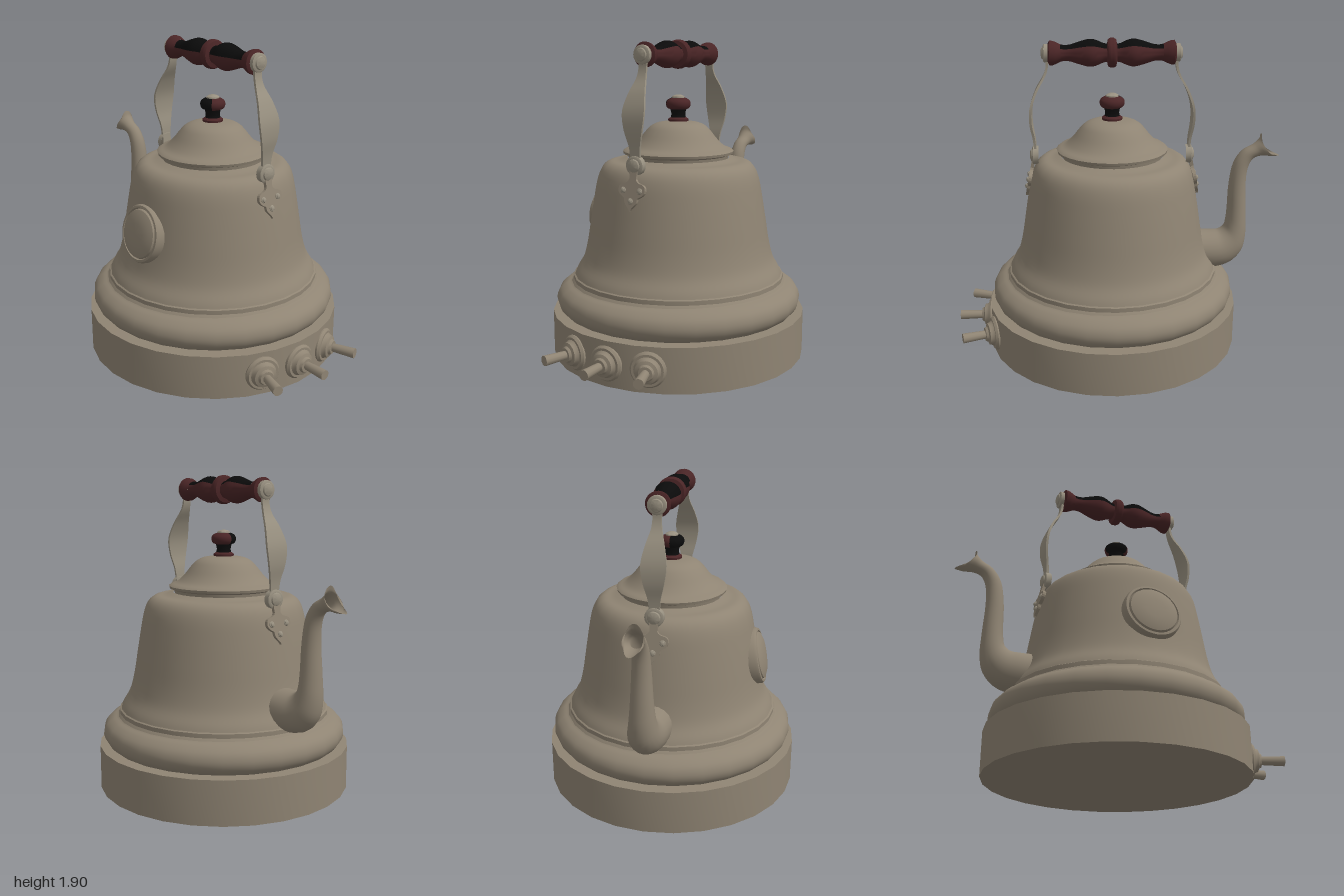
import * as THREE from 'three';
import { toCreasedNormals } from 'three/addons/utils/BufferGeometryUtils.js';

const SIDES = 28;
const mat = (name, color) => Object.assign(new THREE.MeshStandardMaterial({ color }), { name });

export function createModel() {
  const enamel = mat('taupe enamel', 0x8f8473);
  const metal = mat('pale metal', 0x989080);
  const redWood = mat('red wood', 0x4a2526);
  const blackWood = mat('black wood', 0x0b0b0b);
  const spoutEnamel = enamel.clone();
  spoutEnamel.side = THREE.DoubleSide;

  const model = new THREE.Group();
  model.name = 'kettle';
  const kettle = new THREE.Group();
  kettle.name = 'kettleBody';
  kettle.position.x = 0.025;
  model.add(kettle);

  const add = (parent, name, geo, material) => {
    const m = new THREE.Mesh(geo, material);
    m.name = name;
    parent.add(m);
    return m;
  };
  // Profile points run from bottom to top; smooth > 0 resamples them as a spline
  const turned = (pts, { smooth = 0, sides = SIDES, start = 0, sweep = Math.PI * 2, crease = 0.6 } = {}) => {
    let p = pts.map(([r, y]) => new THREE.Vector2(r, y));
    if (smooth) p = new THREE.SplineCurve(p).getPoints(smooth);
    return toCreasedNormals(new THREE.LatheGeometry(p, sides, start, sweep), crease);
  };

  // Base drum and stacked bell-shaped body
  add(kettle, 'base', turned([[0, 0], [0.775, 0], [0.775, 0.265], [0.7, 0.268]]), enamel);
  add(kettle, 'lowerMoulding', turned([[0.7, 0.265], [0.72, 0.28], [0.742, 0.31], [0.75, 0.35],
    [0.735, 0.395], [0.695, 0.43], [0.66, 0.445], [0.645, 0.46]], { smooth: 20 }), enamel);
  add(kettle, 'bodyStep', turned([[0.66, 0.445], [0.648, 0.46], [0.648, 0.485], [0.63, 0.495]]), enamel);
  add(kettle, 'body', turned([[0.64, 0.487], [0.625, 0.52], [0.585, 0.59], [0.558, 0.69], [0.535, 0.83],
    [0.512, 0.97], [0.49, 1.08], [0.462, 1.145], [0.42, 1.178], [0.36, 1.186], [0.31, 1.2]], { smooth: 40 }), enamel);

  // Lid
  add(kettle, 'lidRim', turned([[0.3, 1.19], [0.305, 1.215], [0.332, 1.225], [0.336, 1.24], [0.32, 1.252], [0.28, 1.262]]), enamel);
  add(kettle, 'lid', turned([[0.32, 1.25], [0.28, 1.268], [0.24, 1.305], [0.2, 1.355], [0.165, 1.39],
    [0.12, 1.41], [0.06, 1.418], [0, 1.42]], { smooth: 24 }), enamel);

  // Lid knob
  add(kettle, 'knobFoot', turned([[0.06, 1.41], [0.062, 1.43], [0.045, 1.442]]), redWood);
  add(kettle, 'knobNeck', turned([[0.048, 1.435], [0.042, 1.46], [0.05, 1.495]], { smooth: 8 }), blackWood);
  const ball = [[0.045, 1.488], [0.066, 1.497], [0.075, 1.52], [0.068, 1.542], [0.04, 1.558], [0, 1.56]];
  const ballDark = Math.PI * 0.75;
  add(kettle, 'knobBallDark', turned(ball, { smooth: 12, start: -Math.PI / 2, sweep: ballDark, sides: 12 }), blackWood);
  add(kettle, 'knobBall', turned(ball, { smooth: 12, start: -Math.PI / 2 + ballDark, sweep: Math.PI * 2 - ballDark, sides: 20 }), redWood);
  add(kettle, 'knobCap', turned([[0.04, 1.55], [0.038, 1.565], [0.022, 1.574], [0, 1.576]]), metal);

  // Round domed plate on the front
  const plate = add(kettle, 'frontMedallion', turned([[0.172, -0.06], [0.172, 0.01], [0.165, 0.024], [0.152, 0.026],
    [0.146, 0.016], [0.14, 0.03], [0.11, 0.042], [0.06, 0.049], [0, 0.05]], { sides: 40 }), enamel);
  plate.position.set(0, 0.83, 0.535);
  plate.rotation.x = Math.PI / 2 - 0.2;

  // Three toggle switches on the base
  for (const a of [-0.33, 0, 0.33]) {
    const sw = new THREE.Group();
    sw.name = 'toggleSwitch';
    sw.rotation.y = a;
    kettle.add(sw);
    const collar = add(sw, 'switchCollar', turned([[0.103, -0.06], [0.103, 0.012], [0.092, 0.026], [0.078, 0.026],
      [0.07, 0.036], [0.066, 0.052], [0.048, 0.058], [0.04, 0.072], [0, 0.074]], { sides: 24 }), enamel);
    collar.position.set(0.765, 0.135, 0);
    collar.rotation.z = -Math.PI / 2;
    const lever = add(sw, 'switchLever', new THREE.CylinderGeometry(0.03, 0.024, 0.16, 12), enamel);
    lever.position.set(0.895, 0.135, 0);
    lever.rotation.z = -Math.PI / 2;
  }

  // Spout sections: underside x, y, half width, then upper side x, y
  const sections = [
    [-0.45, 0.46, 0.13, -0.45, 0.7], [-0.62, 0.455, 0.12, -0.6, 0.695], [-0.72, 0.485, 0.105, -0.645, 0.7],
    [-0.79, 0.56, 0.088, -0.675, 0.725], [-0.813, 0.66, 0.076, -0.685, 0.77], [-0.81, 0.8, 0.066, -0.69, 0.84],
    [-0.8, 1.0, 0.055, -0.695, 1.0], [-0.81, 1.11, 0.048, -0.72, 1.14], [-0.84, 1.165, 0.043, -0.77, 1.215],
    [-0.89, 1.182, 0.046, -0.835, 1.253], [-0.95, 1.178, 0.06, -0.87, 1.285], [-1.0, 1.18, 0.05, -0.883, 1.32]];
  const under = new THREE.CatmullRomCurve3(sections.map((s) => new THREE.Vector3(s[0], s[1], s[2])));
  const upper = new THREE.CatmullRomCurve3(sections.map((s) => new THREE.Vector3(s[3], s[4], 0)));
  const rows = 44, ring = 20, pos = [], idx = [];
  for (let i = 0; i <= rows; i++) {
    const t = i / rows, o = under.getPoint(t), u = upper.getPoint(t);
    const sag = Math.max(0, (t - 0.91) / 0.09);
    for (let j = 0; j < ring; j++) {
      const a = (j / ring) * Math.PI * 2, c = Math.cos(a), s = Math.sin(a);
      pos.push((o.x + u.x) / 2 + ((o.x - u.x) / 2) * c + 0.04 * sag * s * s,
        (o.y + u.y) / 2 + ((o.y - u.y) / 2) * c - 0.015 * sag * s * s, o.z * s);
      if (i < rows) {
        const k = (j + 1) % ring, p = i * ring, q = p + ring;
        idx.push(p + j, p + k, q + k, p + j, q + k, q + j);
      }
    }
  }
  const spoutGeo = new THREE.BufferGeometry();
  spoutGeo.setAttribute('position', new THREE.Float32BufferAttribute(pos, 3));
  spoutGeo.setIndex(idx);
  spoutGeo.computeVertexNormals();
  add(model, 'spout', spoutGeo, spoutEnamel);

  // Bail strap: a box bent along a curve whose z value is its half width
  const strapCurve = new THREE.CatmullRomCurve3([[0.46, 1.18, 0.028], [0.468, 1.3, 0.036], [0.484, 1.4, 0.06],
    [0.48, 1.5, 0.073], [0.445, 1.6, 0.055], [0.395, 1.69, 0.03], [0.38, 1.75, 0.026], [0.386, 1.83, 0.035]]
    .map((p) => new THREE.Vector3(...p)));
  const strapGeo = new THREE.BoxGeometry(0.014, 1, 2, 1, 32, 2);
  const sp = strapGeo.attributes.position;
  for (let i = 0; i < sp.count; i++) {
    const p = strapCurve.getPoint(sp.getY(i) + 0.5);
    sp.setXYZ(i, p.x + sp.getX(i), p.y, p.z * sp.getZ(i));
  }
  strapGeo.computeVertexNormals();

  // Lobed bracket outline, mirrored across its centre line
  const shape = new THREE.Shape();
  shape.moveTo(-0.028, 0.15);
  shape.lineTo(-0.022, 0.07);
  shape.bezierCurveTo(-0.035, 0.03, -0.09, 0.06, -0.088, 0.008);
  shape.bezierCurveTo(-0.085, -0.03, -0.04, -0.03, -0.042, -0.045);
  shape.bezierCurveTo(-0.042, -0.08, -0.01, -0.085, 0, -0.115);
  shape.bezierCurveTo(0.01, -0.085, 0.042, -0.08, 0.042, -0.045);
  shape.bezierCurveTo(0.04, -0.03, 0.085, -0.03, 0.088, 0.008);
  shape.bezierCurveTo(0.09, 0.06, 0.035, 0.03, 0.022, 0.07);
  shape.lineTo(0.028, 0.15);
  shape.closePath();
  const bracketGeo = new THREE.ExtrudeGeometry(shape, { depth: 0.02, bevelEnabled: false, curveSegments: 8 });
  bracketGeo.rotateY(Math.PI / 2);
  const button = (r, h) => turned([[r, -h], [r, h * 0.3], [r * 0.82, h * 0.5], [r * 0.7, h * 0.5],
    [r * 0.62, h * 0.8], [r * 0.4, h], [0, h * 1.1]], { sides: 20 }).rotateZ(-Math.PI / 2);

  // Handle grip profiles: [radius, distance from the middle]
  const gripPts = [[0.052, 0.02], [0.056, 0.05], [0.075, 0.095], [0.08, 0.135], [0.066, 0.19], [0.05, 0.24], [0.046, 0.275], [0.05, 0.3]];
  const flangePts = [[0.05, 0.3], [0.062, 0.325], [0.07, 0.345], [0.072, 0.365], [0.05, 0.376], [0, 0.377]];
  const darkStart = Math.PI * 1.2, darkSweep = Math.PI * 0.75;

  for (const side of [0, 1]) {
    const arm = new THREE.Group();
    arm.name = side ? 'rightHandleArm' : 'leftHandleArm';
    arm.rotation.y = side * Math.PI;
    kettle.add(arm);
    add(arm, 'strap', strapGeo, metal);
    const bracket = add(arm, 'bracket', bracketGeo, enamel);
    bracket.position.set(0.49, 1.055, 0);
    bracket.rotation.z = 0.2;
    for (const [y, z] of [[0.005, 0.055], [0.005, -0.055], [-0.055, 0]])
      add(bracket, 'rivet', button(0.018, 0.014), metal).position.set(0.018, y, z);
    add(arm, 'pivotBolt', button(0.056, 0.026), metal).position.set(0.47, 1.2, 0);
    add(arm, 'gripBolt', button(0.054, 0.024), metal).position.set(0.39, 1.815, 0);

    // Dark stain follows the same side of the grip on both halves
    const start = side ? Math.PI * 3 - darkStart - darkSweep : darkStart;
    const grip = (name, from, sweep, material) =>
      add(arm, name, turned(gripPts, { smooth: 20, start: from, sweep, sides: 16 }).rotateZ(-Math.PI / 2), material)
        .position.set(0, 1.815, 0);
    grip('gripDark', start, darkSweep, blackWood);
    grip('grip', start + darkSweep, Math.PI * 2 - darkSweep, redWood);
    add(arm, 'gripFlange', turned(flangePts).rotateZ(-Math.PI / 2), redWood).position.set(0, 1.815, 0);
  }
  const ringGeo = turned([[0.05, -0.03], [0.078, -0.024], [0.086, -0.01], [0.086, 0.01], [0.078, 0.024], [0.05, 0.03]]);
  add(kettle, 'gripRing', ringGeo.rotateZ(-Math.PI / 2), redWood).position.set(0, 1.815, 0);

  return model;
}
